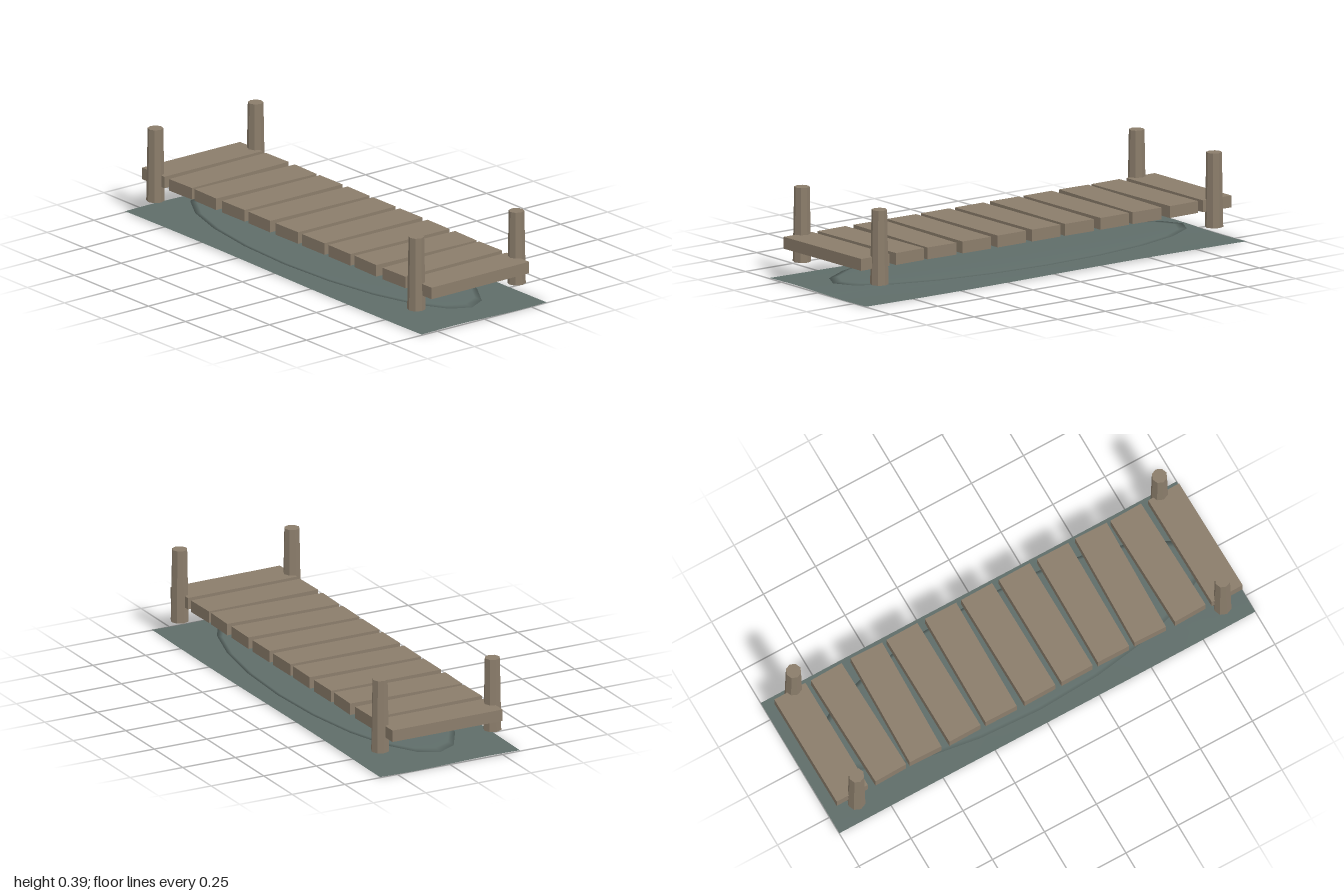
import * as THREE from 'three';

export function createModel() {
  const group = new THREE.Group();
  group.name = 'jetty';
  const wood = new THREE.MeshStandardMaterial({ color: 0x8b7d6b, flatShading: true });
  wood.name = 'weathered wood';
  const water = new THREE.MeshStandardMaterial({ color: 0x5f6d69, side: THREE.DoubleSide });
  water.name = 'grey green water';

  const add = (name, geometry, material, x, y, z) => {
    const mesh = new THREE.Mesh(geometry, material);
    mesh.name = name;
    mesh.position.set(x, y, z);
    group.add(mesh);
    return mesh;
  };

  // Gently rippled water sheet
  const sheet = new THREE.PlaneGeometry(2, 0.667, 16, 8).rotateX(-Math.PI / 2);
  const p = sheet.attributes.position;
  for (let i = 0; i < p.count; i++) {
    p.setY(i, 0.003 * Math.sin(p.getX(i) * 3 - p.getZ(i) * 9));
  }
  sheet.computeVertexNormals();
  add('waterSheet', sheet, water, 0, 0.007, 0);

  // Shallow lens of water under the deck
  const lens = new THREE.SphereGeometry(1, 20, 10).scale(0.92, 0.008, 0.278);
  add('waterLens', lens, water, 0, 0.034, 0);

  // Deck planks, each laid slightly askew
  const yaws = [0.005, 0.025, -0.025, 0.01, -0.012, 0.012, 0.008, -0.01, -0.025, 0.025, 0.015];
  yaws.forEach((yaw, i) => {
    const plank = add('plank', new THREE.BoxGeometry(0.15, 0.051, 0.525), wood, -0.9 + i * 0.18, 0.168, 0.002);
    plank.rotation.y = yaw;
  });

  // Tapered corner posts
  for (const x of [-0.88, 0.88]) {
    for (const z of [-0.267, 0.267]) {
      add('post', new THREE.CylinderGeometry(0.033, 0.039, 0.32, 8), wood, x, 0.235, z);
    }
  }
  return group;
}
